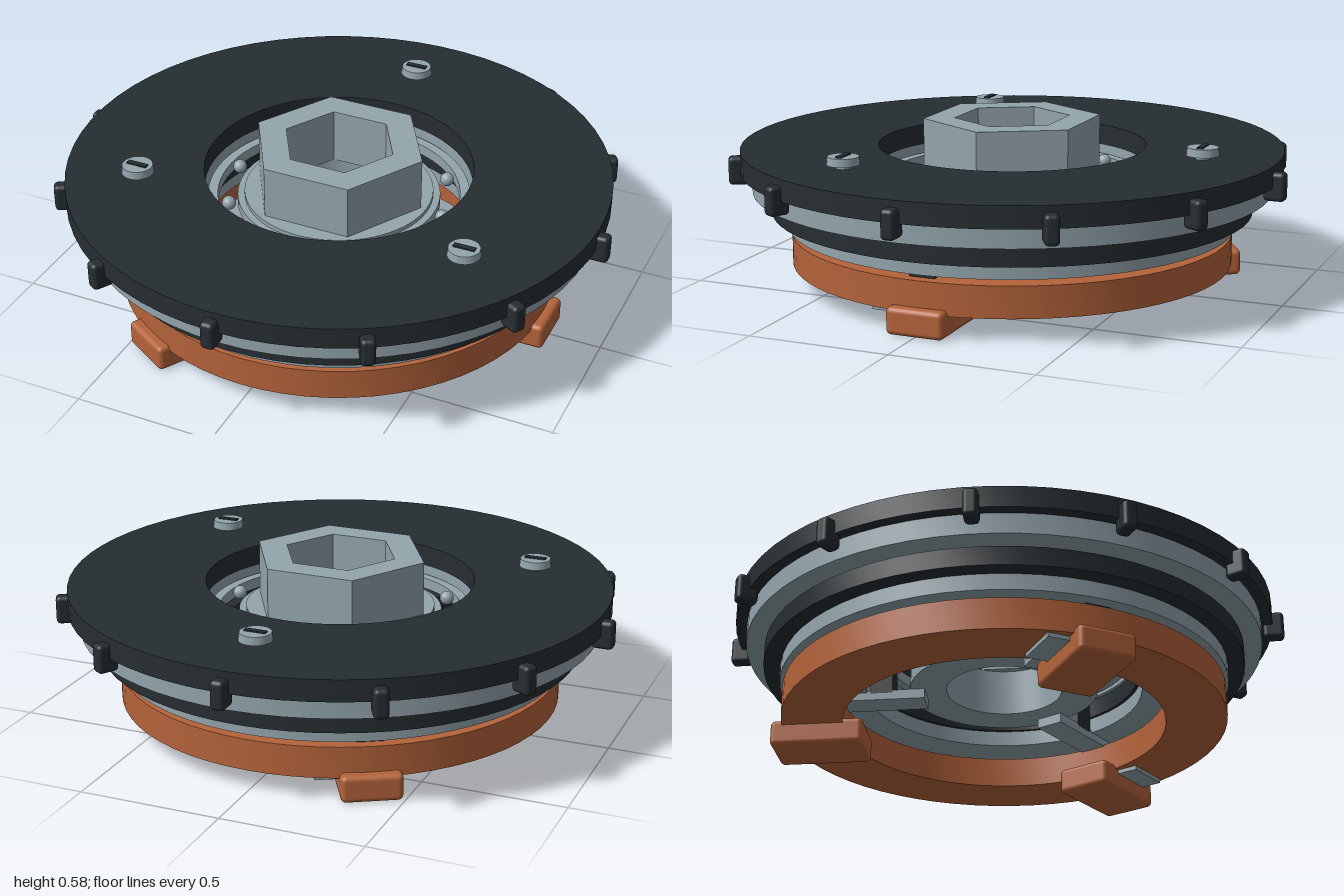
import * as THREE from 'three';
import { toCreasedNormals } from 'three/addons/utils/BufferGeometryUtils.js';
import { RoundedBoxGeometry } from 'three/addons/geometries/RoundedBoxGeometry.js';

const steel = new THREE.MeshStandardMaterial({ color: 0x93a5ad });
const black = new THREE.MeshStandardMaterial({ color: 0x262d31 });
const copper = new THREE.MeshStandardMaterial({ color: 0xb4633a });

export function createModel() {
  const model = new THREE.Group();
  model.name = 'clutchHub';

  const add = (name, geometry, material, parent = model) => {
    const mesh = new THREE.Mesh(geometry, material);
    mesh.name = name;
    parent.add(mesh);
    return mesh;
  };

  // Flat ring with a rectangular section
  const ring = (name, inner, outer, y0, y1, material) => {
    const profile = [[inner, y0], [outer, y0], [outer, y1], [inner, y1], [inner, y0]]
      .map(([r, y]) => new THREE.Vector2(r, y));
    return add(name, toCreasedNormals(new THREE.LatheGeometry(profile, 64), 0.6), material);
  };

  // Repeats a part around the axis; local +x points outward
  const around = (name, count, start, build) => {
    for (let i = 0; i < count; i++) {
      const group = new THREE.Group();
      group.name = name;
      group.rotation.y = -(start + (i * 2 * Math.PI) / count);
      build(group);
      model.add(group);
    }
  };

  const box = (name, x0, x1, y0, y1, width, material, parent, z = 0, radius = 0) => {
    const size = [x1 - x0, y1 - y0, width];
    const geometry = radius
      ? new RoundedBoxGeometry(...size, 3, radius)
      : new THREE.BoxGeometry(...size);
    add(name, geometry, material, parent).position.set((x0 + x1) / 2, (y0 + y1) / 2, z);
  };

  // Stacked plates
  ring('topPlate', 0.475, 0.96, 0.42, 0.495, black);
  ring('upperSteelRing', 0.478, 0.92, 0.347, 0.42, steel);
  ring('middlePlate', 0.478, 0.855, 0.27, 0.337, black);
  ring('lowerSteelRing', 0.49, 0.795, 0.213, 0.27, steel);
  ring('frictionRing', 0.57, 0.785, 0.08, 0.19, copper);

  // Hub: round body with a hexagonal socket on top
  ring('hubBody', 0.205, 0.335, 0.22, 0.4, steel);
  const hexagon = (Type, radius) => new Type(Array.from({ length: 6 }, (_, i) =>
    new THREE.Vector2(radius * Math.cos(i * Math.PI / 3), radius * Math.sin(i * Math.PI / 3))));
  const socketShape = hexagon(THREE.Shape, 0.315);
  socketShape.holes.push(hexagon(THREE.Path, 0.205));
  const socket = new THREE.ExtrudeGeometry(socketShape, { depth: 0.2, bevelEnabled: false });
  add('hexSocket', socket.rotateX(-Math.PI / 2).translate(0, 0.39, 0), steel);

  // Ball bearing around the hub
  ring('innerRace', 0.335, 0.36, 0.35, 0.385, steel);
  ring('outerRace', 0.43, 0.465, 0.35, 0.39, steel);
  around('bearingBall', 10, 0, (g) => {
    add('ball', new THREE.SphereGeometry(0.025, 16, 12), steel, g).position.set(0.395, 0.385, 0);
  });

  // Three spokes with clips, pads and feet
  around('spoke', 3, 0, (g) => {
    box('spokeArm', 0.28, 0.62, 0.185, 0.22, 0.1, steel, g);
    box('spokeStrip', 0.39, 0.75, 0.192, 0.212, 0.09, black, g);
    box('spokeClip', 0.395, 0.475, 0.21, 0.345, 0.1, black, g);
    box('padPlate', 0.58, 0.75, 0.065, 0.095, 0.2, steel, g, 0.08);
    box('foot', 0.49, 0.82, 0.006, 0.1, 0.205, copper, g, 0, 0.018);
  });

  // Grip lugs on the rim
  around('rimLug', 12, 0, (g) => box('lug', 0.925, 1, 0.372, 0.472, 0.05, black, g, 0, 0.015));

  // Slotted screws
  for (let i = 0; i < 3; i++) {
    const angle = -Math.PI / 2 + (i * 2 * Math.PI) / 3;
    const screw = new THREE.Group();
    screw.name = 'screw';
    screw.position.set(0.705 * Math.cos(angle), 0, 0.705 * Math.sin(angle));
    add('screwHead', new THREE.CylinderGeometry(0.054, 0.057, 0.028, 24), steel, screw).position.y = 0.522;
    add('screwShank', new THREE.CylinderGeometry(0.025, 0.025, 0.03, 16), steel, screw).position.y = 0.5;
    box('screwSlot', -0.038, 0.038, 0.52, 0.541, 0.02, black, screw);
    model.add(screw);
  }

  model.position.y = -0.006;
  return model;
}
